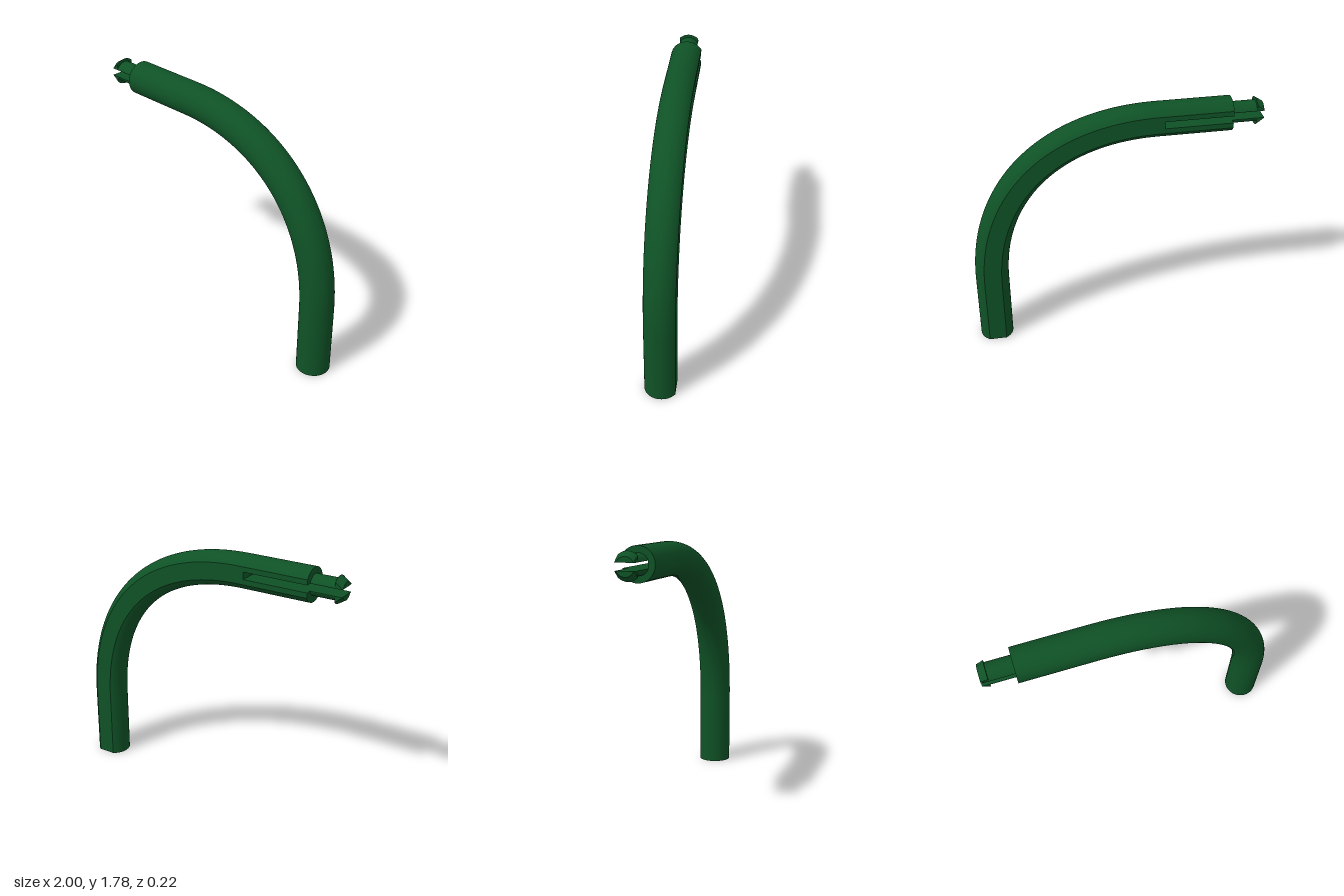
import * as THREE from 'three';
import { toCreasedNormals } from 'three/addons/utils/BufferGeometryUtils.js';

const AXIS_Y = 1.663;      // height of the horizontal arm's centreline
const R = 0.117;           // tube radius
const ZC = -0.01;          // tube centre depth
const BACK = -0.11;        // plane of the flattened back
const SLOT = 0.025;        // half width of the slot and of the prong gap
const SLOT_END = -0.32;

// Loft closed rings: each frame has a centre, a tangent and a profile of (outward, z) points.
function loft(frames) {
  const pos = [];
  const rings = frames.map(({ p, t, profile }) =>
    profile.map((q) => new THREE.Vector3(p.x - t.y * q.x, p.y + t.x * q.x, q.y)));
  const tri = (a, b, c) => [a, b, c].forEach((v) => pos.push(v.x, v.y, v.z));
  for (let i = 0; i < rings.length - 1; i++) {
    const a = rings[i], b = rings[i + 1], n = a.length;
    for (let j = 0; j < n; j++) {
      const k = (j + 1) % n;
      tri(a[j], a[k], b[k]);
      tri(a[j], b[k], b[j]);
    }
  }
  const cap = (ring, profile, flip) => {
    for (const [a, b, c] of THREE.ShapeUtils.triangulateShape(profile, [])) {
      if (flip) tri(ring[a], ring[c], ring[b]);
      else tri(ring[a], ring[b], ring[c]);
    }
  };
  const last = frames.length - 1;
  cap(rings[0], frames[0].profile, true);
  cap(rings[last], frames[last].profile, false);
  const geo = new THREE.BufferGeometry();
  geo.setAttribute('position', new THREE.Float32BufferAttribute(pos, 3));
  return toCreasedNormals(geo, 0.5);
}

// Round section with a flat back, optionally cut by a slot
function tubeProfile(slotted) {
  const start = Math.asin((BACK - ZC) / R), end = Math.PI - start, pts = [];
  for (let i = 0; i <= 40; i++) {
    const a = start + (end - start) * i / 40;
    pts.push(new THREE.Vector2(R * Math.cos(a), ZC + R * Math.sin(a)));
  }
  if (slotted) {
    for (const [u, z] of [[-SLOT, BACK], [-SLOT, 0.06], [SLOT, 0.06], [SLOT, BACK]]) {
      pts.push(new THREE.Vector2(u, z));
    }
  }
  return pts;
}

// Half-round section of one prong; side is +1 for upper, -1 for lower
function prongProfile(radius, side) {
  const half = 0.065, zc = -0.005, pts = [];
  for (let i = 0; i <= 14; i++) {
    const z = -half + 2 * half * i / 14;
    const u = Math.max(SLOT + 0.003, Math.sqrt(Math.max(0, radius * radius - z * z)));
    pts.push(new THREE.Vector2(side * u, zc + z));
  }
  pts.push(new THREE.Vector2(side * SLOT, zc + half), new THREE.Vector2(side * SLOT, zc - half));
  return side > 0 ? pts : pts.reverse();
}

export function createModel() {
  const group = new THREE.Group();
  const green = new THREE.MeshStandardMaterial({ color: 0x0f5226 });
  green.name = 'dark green';
  const add = (name, geo) => {
    const mesh = new THREE.Mesh(geo, green);
    mesh.name = name;
    group.add(mesh);
  };
  const right = new THREE.Vector2(1, 0), down = new THREE.Vector2(0, -1);
  const at = (x, y, t, profile) => ({ p: new THREE.Vector2(x, y), t, profile });

  // Slotted end of the arm
  const slotted = tubeProfile(true);
  add('slottedArm', loft([
    at(-0.78, AXIS_Y, right, slotted), at(SLOT_END, AXIS_Y, right, slotted)]));

  // Curved elbow running into the upright
  const round = tubeProfile(false);
  const x0 = -0.283, x1 = 0.882, y1 = 0.5, k = 0.62;
  const bend = new THREE.CubicBezierCurve(
    new THREE.Vector2(x0, AXIS_Y),
    new THREE.Vector2(x0 + k * (x1 - x0), AXIS_Y),
    new THREE.Vector2(x1, y1 + k * (AXIS_Y - y1)),
    new THREE.Vector2(x1, y1));
  const frames = [at(SLOT_END, AXIS_Y, right, round)];
  for (let i = 0; i <= 48; i++) {
    const p = bend.getPoint(i / 48);
    frames.push({ p, t: bend.getTangent(i / 48), profile: round });
  }
  frames.push(at(x1, 0, down, round));
  add('bentTube', loft(frames));

  // Pair of barbed snap prongs
  const stations = [[-1, 0.062], [-0.95, 0.093], [-0.949, 0.072], [-0.77, 0.072]];
  for (const [name, side] of [['upperProng', 1], ['lowerProng', -1]]) {
    add(name, loft(stations.map(([x, r]) => at(x, AXIS_Y, right, prongProfile(r, side)))));
  }
  return group;
}
